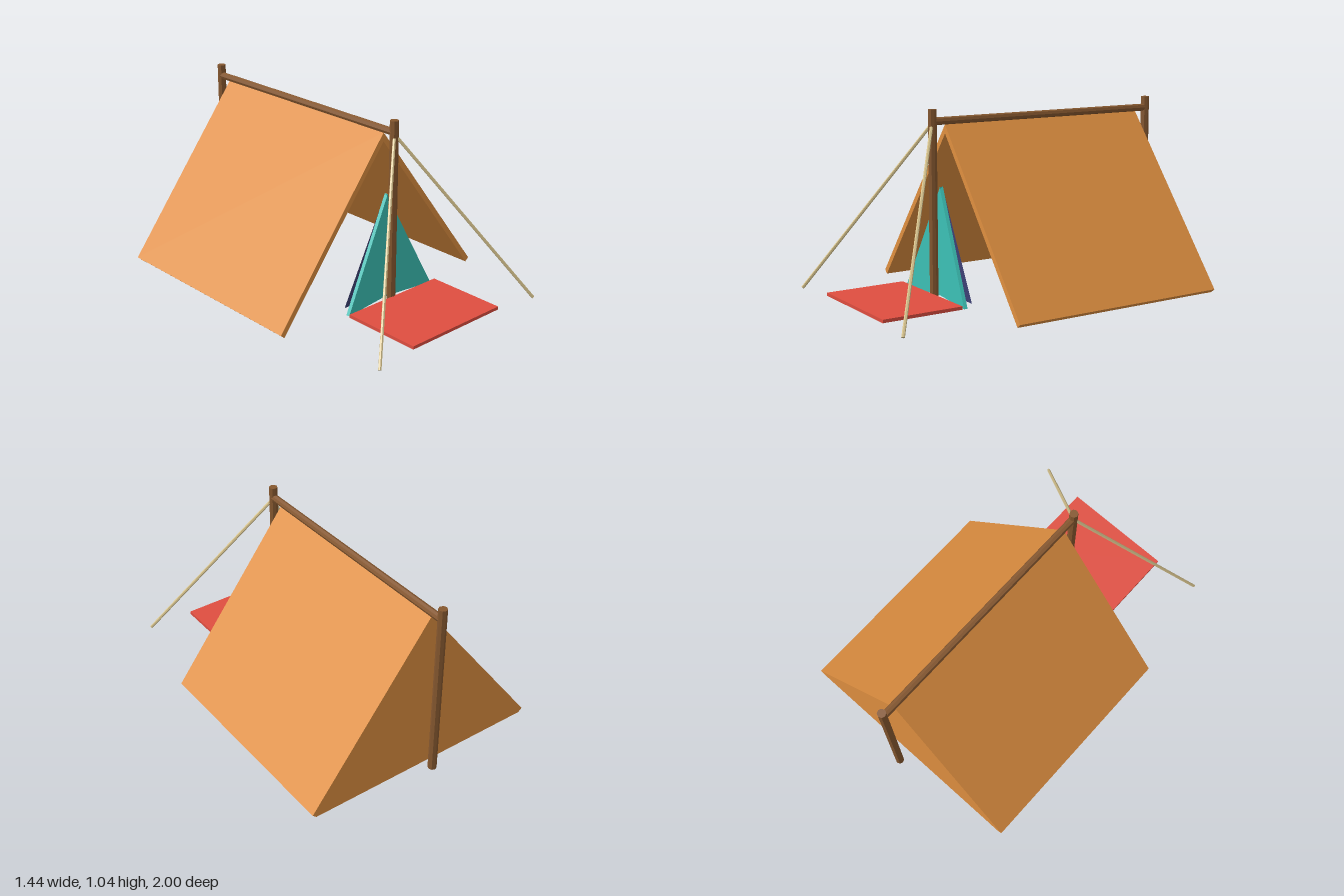
import * as THREE from 'three';

const mat = (name, color, side = THREE.FrontSide) => {
  const m = new THREE.MeshStandardMaterial({ color, side, flatShading: true });
  m.name = name;
  return m;
};

export function createModel() {
  const canvas = mat('orange canvas', 0xdf8f40);
  const wood = mat('brown wood', 0x85572f);
  const rope = mat('pale rope', 0xd8c48e);
  const teal = mat('teal cloth', 0x3cc1b6);
  const navy = mat('navy lining', 0x3c4074, THREE.DoubleSide);
  const red = mat('red mat', 0xdf4e40);

  const group = new THREE.Group();
  group.name = 'tent';
  const add = (name, geometry, material) => {
    const mesh = new THREE.Mesh(geometry, material);
    mesh.name = name;
    group.add(mesh);
    return mesh;
  };
  const polygon = (points) => new THREE.Shape(points.map(([x, y]) => new THREE.Vector2(x, y)));
  const slab = (points, depth) =>
    new THREE.ExtrudeGeometry(polygon(points), { depth, bevelEnabled: false });

  // Straight rod between two points
  const rod = (name, from, to, radius, sides, material) => {
    const a = new THREE.Vector3(...from);
    const b = new THREE.Vector3(...to);
    const mesh = add(name, new THREE.CylinderGeometry(radius, radius, a.distanceTo(b), sides), material);
    mesh.position.copy(a).add(b).multiplyScalar(0.5);
    mesh.quaternion.setFromUnitVectors(new THREE.Vector3(0, 1, 0), b.sub(a).normalize());
  };

  // Wooden frame
  rod('frontPole', [0, 0.02, 0.482], [0, 1.04, 0.482], 0.024, 8, wood);
  rod('backPole', [0, 0.02, -0.975], [0, 1.04, -0.975], 0.024, 8, wood);
  rod('ridgePole', [0, 0.975, -0.975], [0, 0.975, 0.482], 0.021, 8, wood);

  // Back wall closing the rear end
  add('backWall', slab([[-0.698, 0], [0.698, 0], [0, 0.93]], 0.035), canvas).position.z = -0.9;

  for (const s of [1, -1]) {
    const side = s > 0 ? 'left' : 'right';

    // Sloping roof sheet
    const roof = slab([[0, 0.955], [s * 0.718, 0.02], [s * 0.695, 0], [0, 0.906]], 1.305);
    add(side + 'Roof', roof, canvas).position.z = -0.9;

    // Door flap, swung slightly forward
    const flap = add(side + 'DoorFlap', slab([[0, 0.02], [s * 0.316, 0.02], [0, 0.62]], 0.02), teal);
    flap.position.z = 0.421;
    flap.rotation.y = -s * 0.13;

    // Guy rope
    rod(side + 'Rope', [s * 0.012, 0.945, 0.495], [s * 0.586, 0.02, 0.992], 0.009, 6, rope);
  }

  // Lining behind the door flaps
  const lining = new THREE.ShapeGeometry(polygon([[-0.285, 0.035], [0.285, 0.035], [0, 0.6]]));
  add('doorLining', lining, navy).position.z = 0.418;

  // Ground mat at the entrance
  add('entranceMat', new THREE.BoxGeometry(0.65, 0.018, 0.465), red).position.set(0, 0.033, 0.732);

  return group;
}
